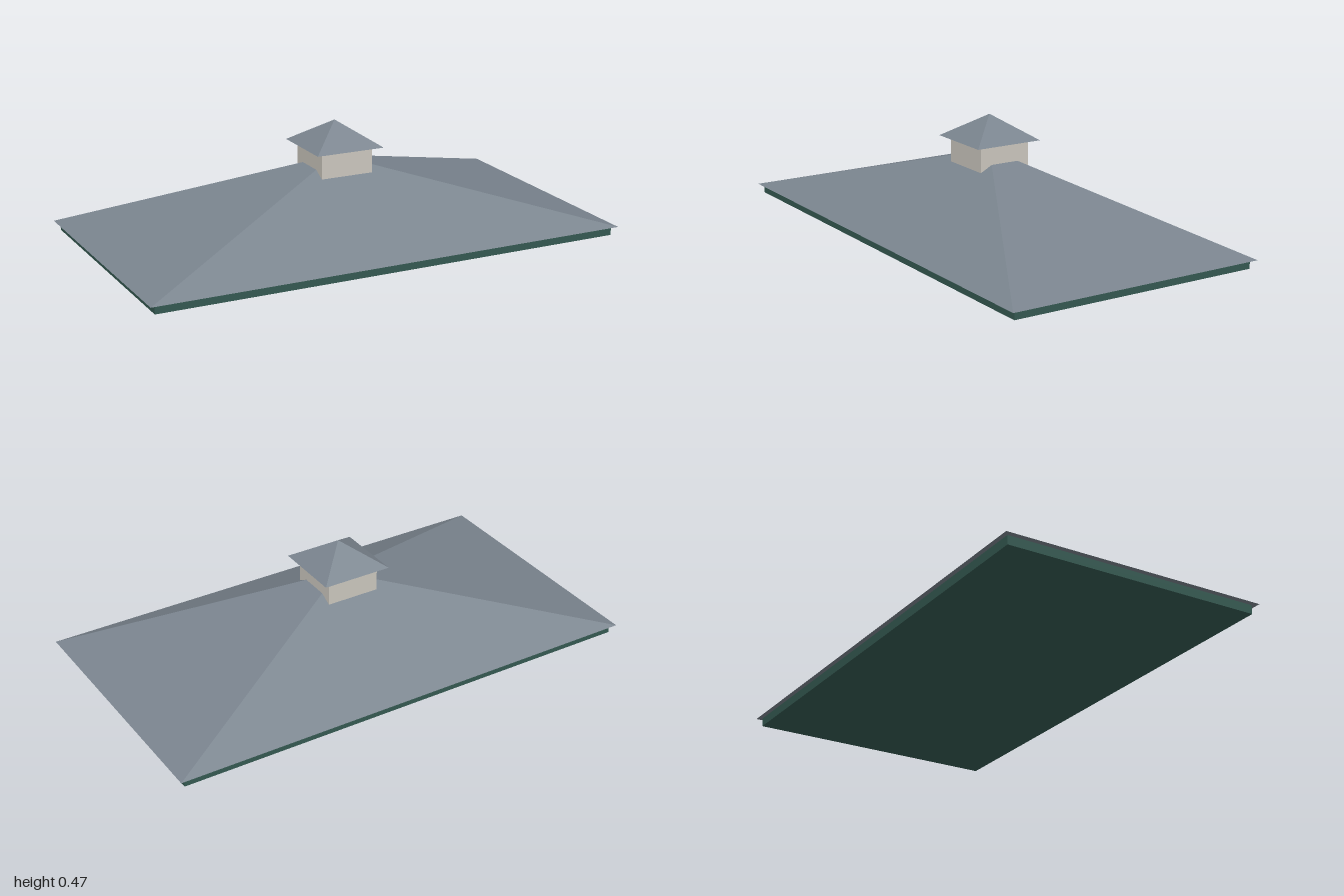
import * as THREE from 'three';

const material = (name, color) => {
  const m = new THREE.MeshStandardMaterial({ color });
  m.name = name;
  return m;
};

// Four-sided hipped roof with a closed underside and crisp facets
function pyramid(halfX, halfZ, height) {
  const cone = new THREE.ConeGeometry(Math.SQRT2, height, 4, 1);
  cone.rotateY(Math.PI / 4);
  cone.scale(halfX, 1, halfZ);
  const geometry = cone.toNonIndexed();
  geometry.computeVertexNormals();
  return geometry;
}

export function createModel() {
  const slate = material('slate grey', 0x7a848e);
  const green = material('dark green', 0x355a52);
  const cream = material('pale stone', 0xcdc9c0);

  const model = new THREE.Group();
  model.name = 'hippedRoofWithCupola';

  const add = (name, geometry, mat, bottom, height) => {
    const mesh = new THREE.Mesh(geometry, mat);
    mesh.name = name;
    mesh.position.y = bottom + height / 2;
    model.add(mesh);
  };

  // Fascia slab under the eaves
  add('fascia', new THREE.BoxGeometry(1.956, 0.036, 1.056), green, 0, 0.036);
  // Main roof, overhanging the fascia
  add('mainRoof', pyramid(1, 0.547, 0.291), slate, 0.036, 0.291);
  // Cupola walls rise through the ridge point
  add('cupolaWalls', new THREE.BoxGeometry(0.222, 0.175, 0.222), cream, 0.2, 0.175);
  // Cupola roof
  add('cupolaRoof', pyramid(0.145, 0.145, 0.098), slate, 0.374, 0.098);

  return model;
}
